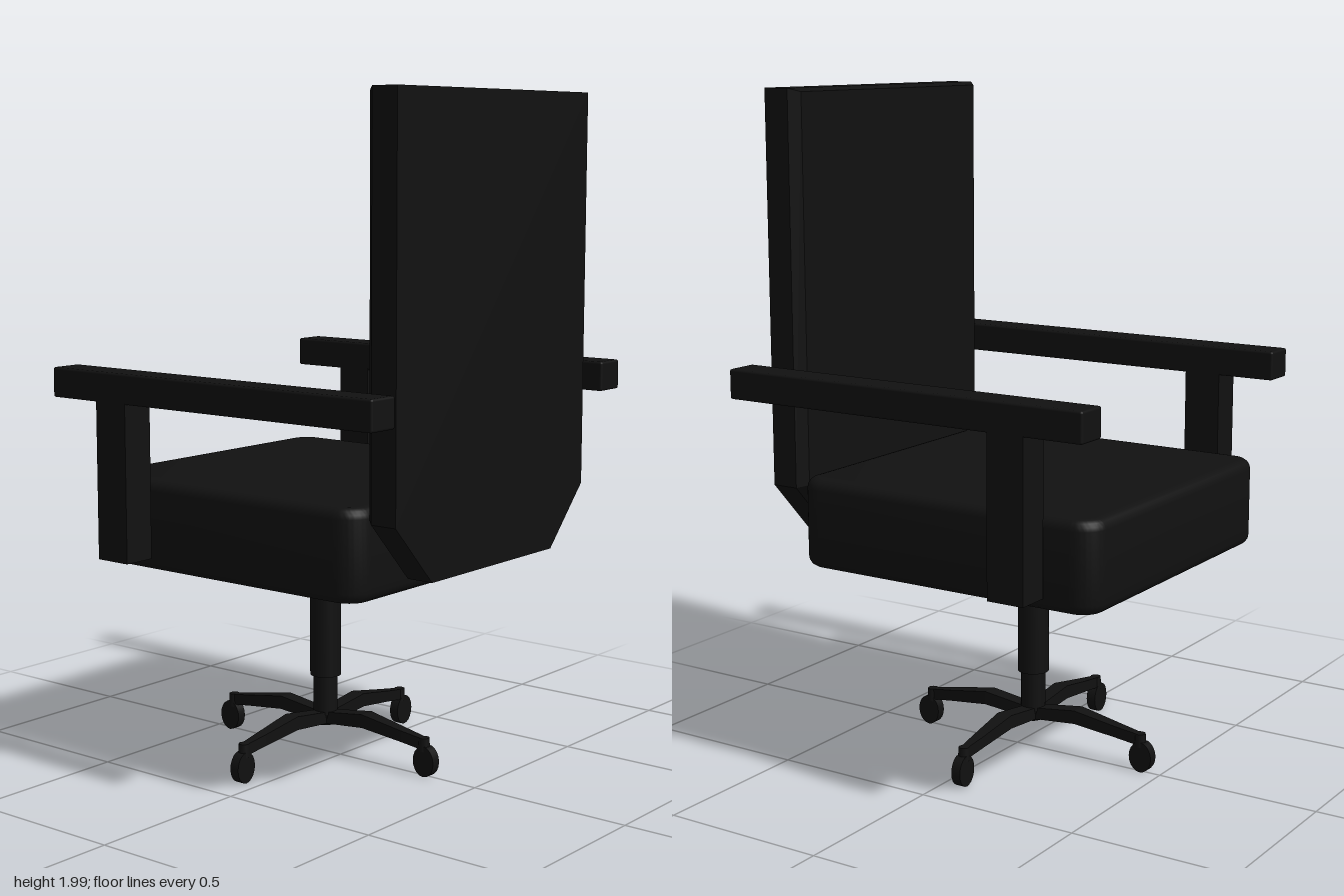
import * as THREE from 'three';
import { RoundedBoxGeometry } from 'three/addons/geometries/RoundedBoxGeometry.js';
import { toCreasedNormals } from 'three/addons/utils/BufferGeometryUtils.js';

const black = new THREE.MeshStandardMaterial({ color: 0x111111 });

function add(parent, name, geometry, x = 0, y = 0, z = 0) {
  const mesh = new THREE.Mesh(geometry, black);
  mesh.name = name;
  mesh.position.set(x, y, z);
  parent.add(mesh);
  return mesh;
}

// Cushion: rounded square with softened top and bottom rims
function seatGeometry(width, depth, height, corner, rim) {
  const w = width / 2 - rim, d = depth / 2 - rim, r = corner - rim;
  const s = new THREE.Shape();
  s.moveTo(-w + r, -d);
  s.lineTo(w - r, -d);
  s.absarc(w - r, -d + r, r, -Math.PI / 2, 0);
  s.absarc(w - r, d - r, r, 0, Math.PI / 2);
  s.absarc(-w + r, d - r, r, Math.PI / 2, Math.PI);
  s.absarc(-w + r, -d + r, r, Math.PI, Math.PI * 1.5);
  const g = new THREE.ExtrudeGeometry(s, {
    depth: height - 2 * rim, bevelSize: rim, bevelThickness: rim, bevelSegments: 4, curveSegments: 8
  });
  g.translate(0, 0, rim);
  g.rotateX(-Math.PI / 2);
  return toCreasedNormals(g, 0.6);
}

// Tall panel with cut lower corners; the rim facing the sitter is bevelled
function backGeometry() {
  const h = 0.46, cut = 0.165, bottom = 0.67, top = 2, thick = 0.11;
  const s = new THREE.Shape([
    [-h + cut, bottom], [h - cut, bottom], [h, bottom + cut + 0.01],
    [h, top], [-h, top], [-h, bottom + cut + 0.01]
  ].map(([x, y]) => new THREE.Vector2(x, y)));
  const g = new THREE.ExtrudeGeometry(s, { depth: thick, steps: 4, bevelEnabled: false });
  const p = g.attributes.position;
  for (let i = 0; i < p.count; i++) {
    if (p.getZ(i) < thick - 0.001) continue;
    p.setX(i, p.getX(i) * 0.94);
    p.setY(i, 1.335 + (p.getY(i) - 1.335) * 0.985);
  }
  g.computeVertexNormals();
  g.rotateY(-Math.PI / 2);
  return g;
}

// Base spoke: rises from the hub to a knee, then drops to the caster
function spokeGeometry() {
  const length = 0.365;
  const g = new THREE.BoxGeometry(length, 1, 1, 3, 1, 1).toNonIndexed();
  const stations = [[0, 0.1, 0.135, 0.022], [0.16, 0.115, 0.156, 0.024],
    [0.3, 0.098, 0.132, 0.017], [length, 0.088, 0.122, 0.012]];
  const p = g.attributes.position;
  for (let i = 0; i < p.count; i++) {
    const [r, low, high, half] = stations[Math.round((p.getX(i) / length + 0.5) * 3)];
    p.setXYZ(i, r, p.getY(i) > 0 ? high : low, Math.sign(p.getZ(i)) * half);
  }
  g.computeVertexNormals();
  return g;
}

export function createModel() {
  const chair = new THREE.Group();
  chair.name = 'officeChair';

  add(chair, 'seat', seatGeometry(1, 0.99, 0.265, 0.075, 0.03), -0.06, 0.62, -0.005);
  add(chair, 'backrest', backGeometry(), 0.55, 0, -0.01);

  // Armrests and their posts
  for (const [side, z] of [['left', -0.56], ['right', 0.555]]) {
    const arm = new THREE.Group();
    arm.name = side + 'Armrest';
    arm.position.z = z;
    add(arm, side + 'ArmPad', new RoundedBoxGeometry(1.18, 0.088, 0.1, 2, 0.007), 0, 1.164, 0);
    add(arm, side + 'ArmPost', new THREE.BoxGeometry(0.115, 0.47, 0.1), -0.354, 0.895, 0);
    chair.add(arm);
  }

  // Gas lift and four-spoke base
  const base = new THREE.Group();
  base.name = 'base';
  base.position.set(-0.056, 0, 0.003);
  add(base, 'liftSleeve', new THREE.CylinderGeometry(0.047, 0.047, 0.38, 24), 0, 0.44, 0);
  add(base, 'liftColumn', new THREE.CylinderGeometry(0.037, 0.037, 0.15, 24), 0, 0.205, 0);
  add(base, 'hub', new THREE.CylinderGeometry(0.037, 0.026, 0.04, 24), 0, 0.115, 0);
  const spoke = spokeGeometry();
  const wheel = new THREE.CylinderGeometry(0.037, 0.037, 0.03, 20);
  wheel.rotateX(Math.PI / 2);
  wheel.scale(1, 1.25, 1);
  for (let i = 0; i < 4; i++) {
    const leg = new THREE.Group();
    leg.name = 'leg' + (i + 1);
    leg.rotation.y = i * Math.PI / 2;
    add(leg, 'spoke', spoke);
    add(leg, 'casterStem', new THREE.CylinderGeometry(0.016, 0.018, 0.04, 12), 0.375, 0.102, 0);
    add(leg, 'casterWheel', wheel, 0.382, 0.052, 0);
    base.add(leg);
  }
  chair.add(base);
  return chair;
}
